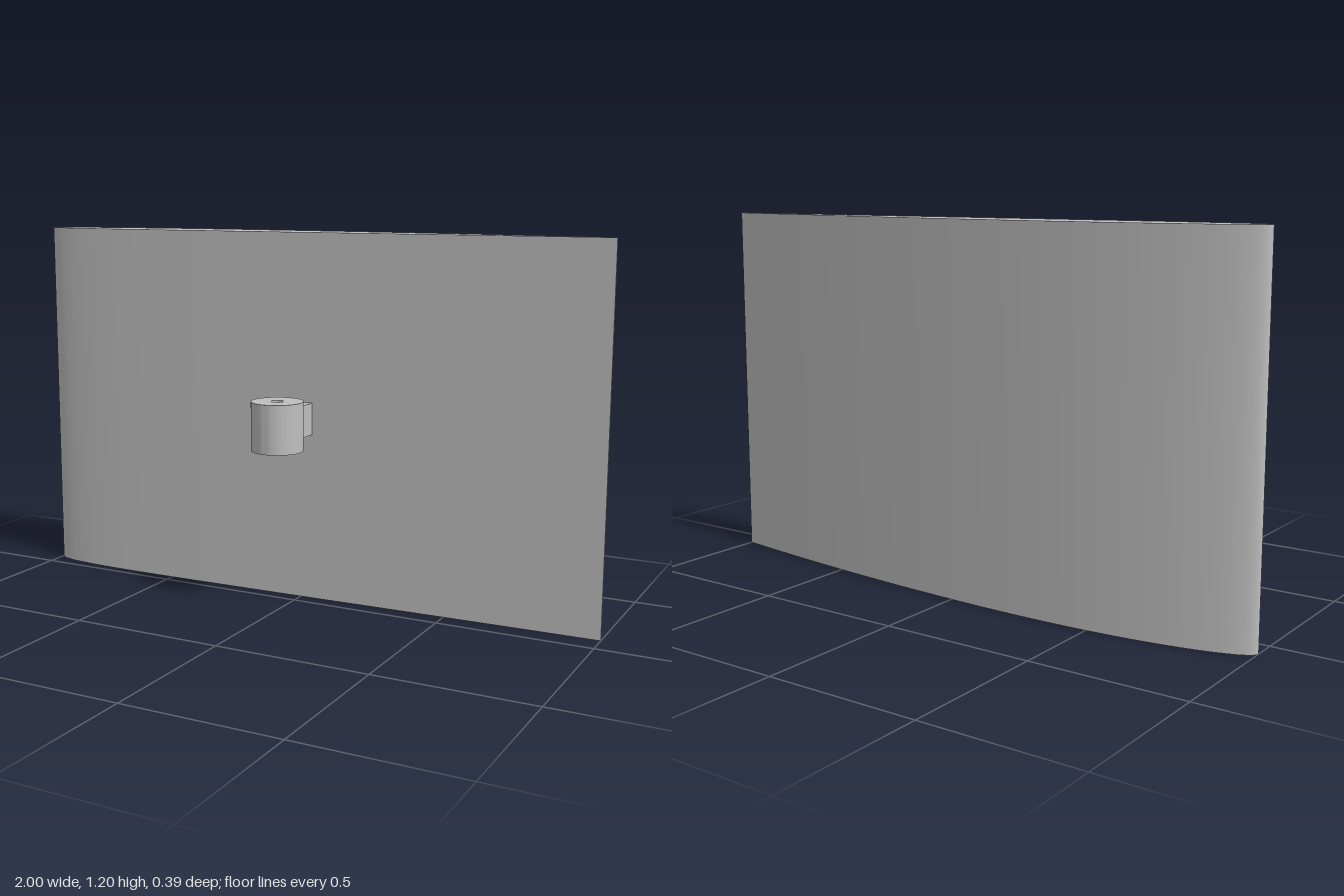
import * as THREE from 'three';
import { toCreasedNormals } from 'three/addons/utils/BufferGeometryUtils.js';

const CHORD = 2, CAMBER = 0.02, CAMBER_POS = 0.4, THICKNESS = 0.08;
const CHORD_Z = -0.078, BOSS_Z = 0.114;

// Point on a cambered aerofoil; side is +1 for the convex back, -1 for the front
function foilPoint(t, side) {
  const p = CAMBER_POS;
  const half = 5 * THICKNESS * (0.2969 * Math.sqrt(t) - 0.126 * t - 0.3516 * t ** 2 + 0.2843 * t ** 3 - 0.1015 * t ** 4);
  const k = t < p ? CAMBER / p ** 2 : CAMBER / (1 - p) ** 2;
  const line = t < p ? k * (2 * p * t - t * t) : k * (1 - 2 * p + 2 * p * t - t * t);
  const angle = Math.atan(2 * k * (p - t));
  return new THREE.Vector2(
    CHORD * (t - side * half * Math.sin(angle) - 0.5),
    CHORD * (line + side * half * Math.cos(angle)) - CHORD_Z
  );
}

// Extrude a plan outline upward, keeping curved walls smooth
function extrudeUp(shape, y0, y1) {
  const geo = new THREE.ExtrudeGeometry(shape, { depth: y1 - y0, bevelEnabled: false, curveSegments: 32 });
  geo.rotateX(-Math.PI / 2).translate(0, y0, 0);
  return toCreasedNormals(geo, Math.PI / 6);
}

export function createModel() {
  const model = new THREE.Group();
  model.name = 'wingSection';
  const grey = new THREE.MeshStandardMaterial({ color: 0xbfbfbf });
  grey.name = 'plainGrey';

  const add = (name, geometry) => {
    const mesh = new THREE.Mesh(geometry, grey);
    mesh.name = name;
    model.add(mesh);
    return mesh;
  };

  // Aerofoil panel: trailing edge, round the nose and back again
  const steps = 48, outline = [];
  for (let i = -steps; i <= steps; i++) {
    const t = (1 - Math.cos(Math.PI * Math.abs(i) / steps)) / 2;
    outline.push(foilPoint(t, i < 0 ? 1 : -1));
  }
  add('aerofoilPanel', extrudeUp(new THREE.Shape(outline), 0, 1.2));

  // Pivot boss with a through hole
  const ring = new THREE.Shape().absarc(0, -BOSS_Z, 0.083, 0, Math.PI * 2);
  ring.holes.push(new THREE.Path().absarc(0, -BOSS_Z, 0.02, 0, Math.PI * 2, true));
  add('pivotBoss', extrudeUp(ring, 0.523, 0.68));

  // Arm joining the boss to the panel
  add('mountArm', new THREE.BoxGeometry(0.08, 0.104, 0.12)).position.set(0, 0.602, 0);

  return model;
}
